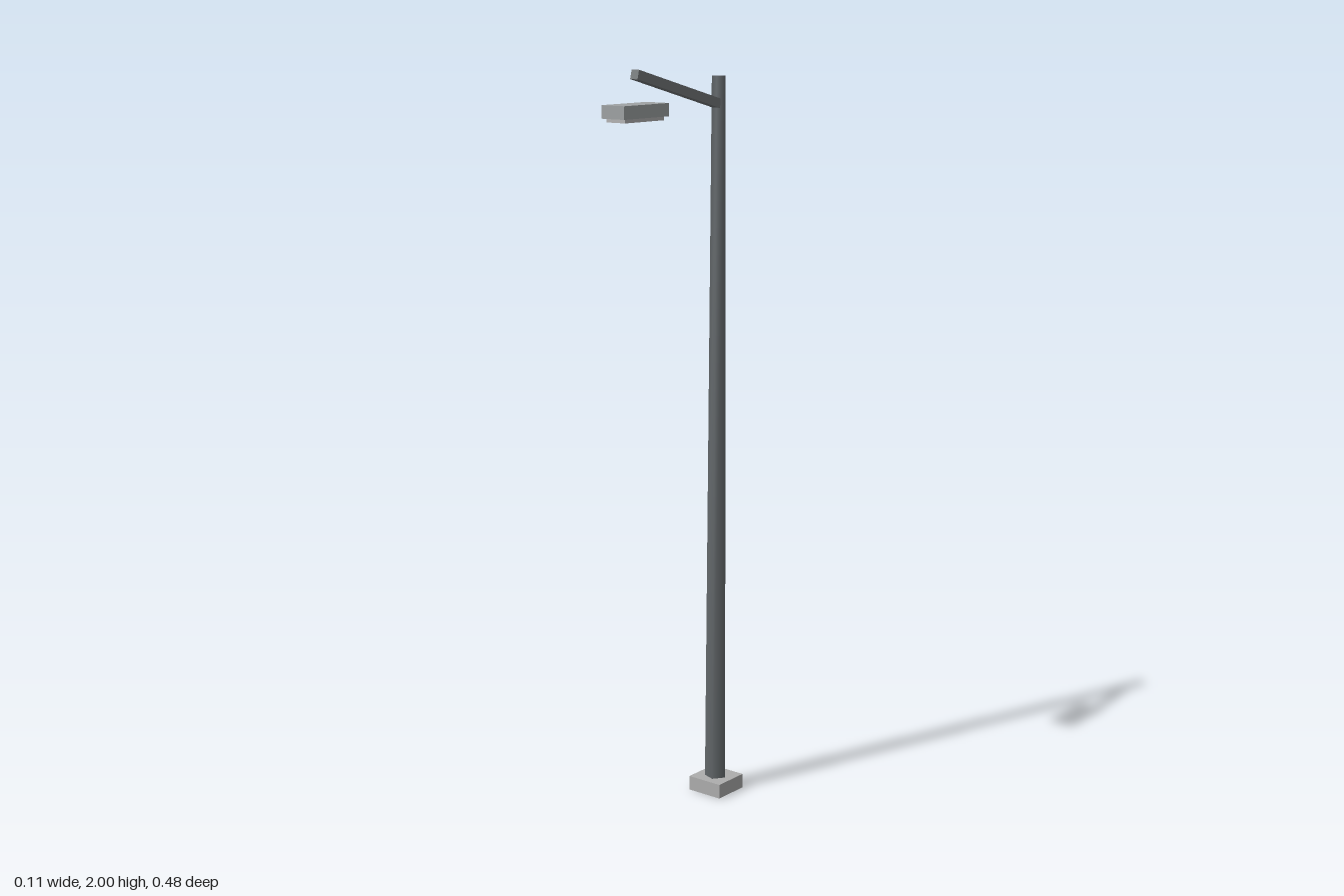
import * as THREE from 'three';
import { mergeVertices } from 'three/addons/utils/BufferGeometryUtils.js';

const POLE_Z = -0.187;

// Weld the corners so shading runs smoothly over the edges
function soften(geometry) {
  geometry.deleteAttribute('uv');
  geometry.deleteAttribute('normal');
  const welded = mergeVertices(geometry);
  welded.computeVertexNormals();
  return welded;
}

export function createModel() {
  const group = new THREE.Group();
  group.name = 'streetLight';

  const add = (name, color, geometry, x, y, z) => {
    const mesh = new THREE.Mesh(geometry, new THREE.MeshStandardMaterial({ color }));
    mesh.name = name;
    mesh.position.set(x, y, z);
    group.add(mesh);
    return mesh;
  };

  // Square concrete footing
  add('base', 0xadadad, new THREE.BoxGeometry(0.106, 0.04, 0.106), 0, 0.02, POLE_Z);

  // Tapered five-sided pole, one corner towards +x
  const poleBottom = 0.03, poleTop = 1.97;
  const pole = new THREE.CylinderGeometry(0.0195, 0.031, poleTop - poleBottom, 5, 1, false, Math.PI / 2);
  add('pole', 0x666b6e, soften(pole), 0, (poleBottom + poleTop) / 2, POLE_Z);

  // Square arm rising forward from the pole
  const start = new THREE.Vector3(0, 1.9, -0.178);
  const end = new THREE.Vector3(0, 1.986, 0.154);
  const mid = start.clone().lerp(end, 0.5);
  const armGeometry = new THREE.BoxGeometry(0.024, 0.024, start.distanceTo(end));
  const arm = add('arm', 0x74787a, armGeometry, mid.x, mid.y, mid.z);
  arm.rotation.x = -Math.atan2(end.y - start.y, end.z - start.z);

  // Lamp housing hanging free below the arm's end, with a lens underneath
  add('lampHousing', 0x9fa3a4, new THREE.BoxGeometry(0.073, 0.033, 0.173), 0, 1.897, 0.151);
  add('lampLens', 0xb4b4b4, new THREE.BoxGeometry(0.06, 0.014, 0.15), 0, 1.878, 0.151);

  return group;
}
